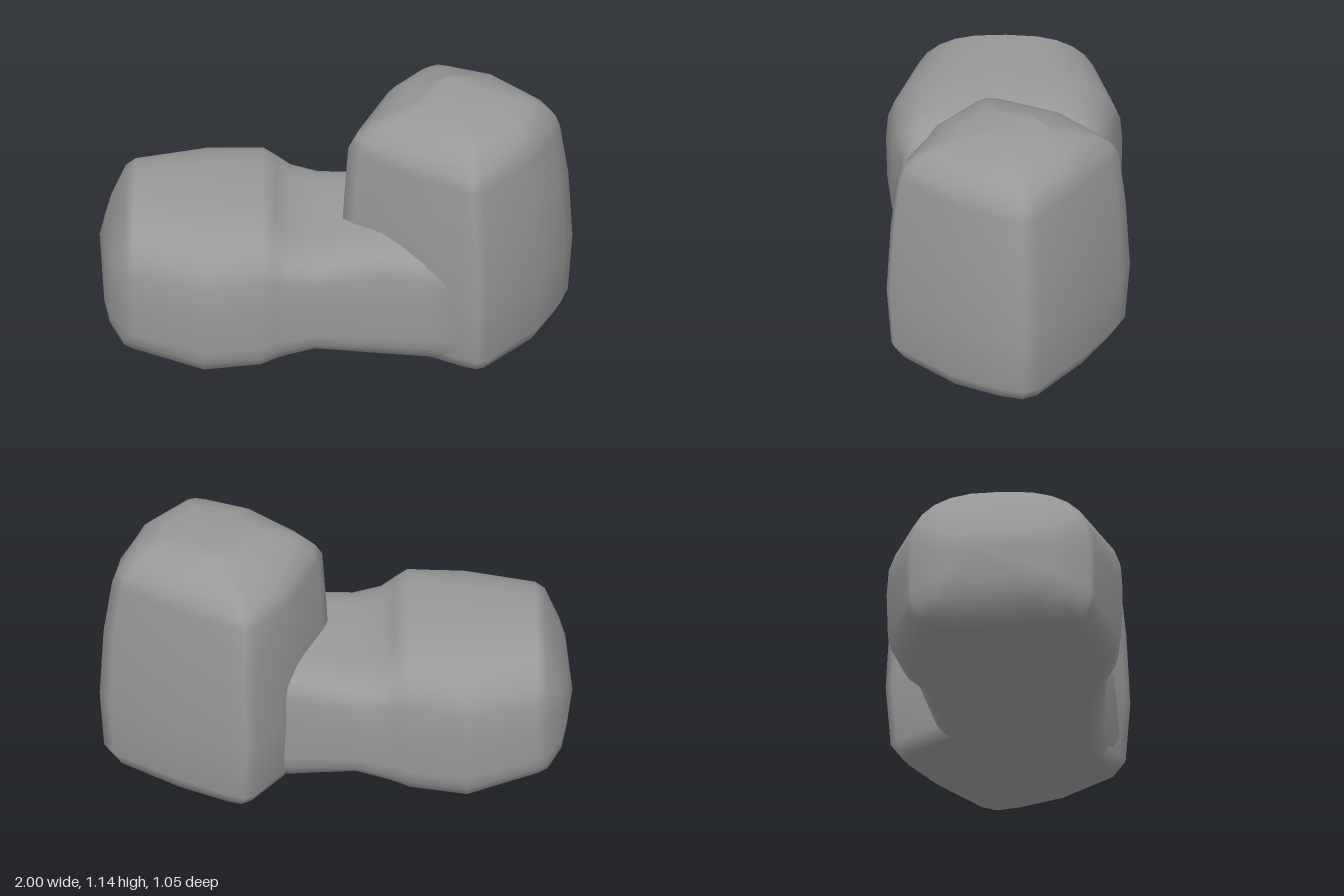
import * as THREE from 'three';

// Smooth closed skin over equal-length rings of [x, y, z] points
function loft(rings, capA, capB) {
  const n = rings[0].length, m = rings.length;
  const pos = [...rings.flat(2), ...capA, ...capB], idx = [];
  const a = n * m, b = a + 1;
  for (let j = 0; j < m - 1; j++) {
    for (let i = 0; i < n; i++) {
      const k = (i + 1) % n, p = j * n + i, q = j * n + k;
      idx.push(p, p + n, q, q, p + n, q + n);
    }
  }
  for (let i = 0; i < n; i++) {
    const k = (i + 1) % n, top = (m - 1) * n;
    idx.push(a, i, k, b, top + k, top + i);
  }
  const g = new THREE.BufferGeometry();
  g.setAttribute('position', new THREE.Float32BufferAttribute(pos, 3));
  g.setIndex(idx);
  g.computeVertexNormals();
  return g;
}

// Cross-section in the yz plane, widest at y = 0.37, with a squarer lower half
function section([x, y0, y1, z0, z1, upperPower]) {
  const ring = [], n = 28, mid = 0.37;
  for (let i = 0; i < n; i++) {
    const t = (i / n) * Math.PI * 2, c = Math.cos(t), s = Math.sin(t);
    const power = s > 0 ? upperPower : 4.8;
    const u = Math.sign(c) * Math.abs(c) ** (2 / power);
    const v = Math.sign(s) * Math.abs(s) ** (2 / power);
    const z = (z0 + z1) / 2 + (u * (z1 - z0)) / 2;
    ring.push([x, mid + v * (s > 0 ? y1 - mid : mid - y0), z]);
  }
  return ring;
}

export function createModel() {
  const group = new THREE.Group();
  const grey = new THREE.MeshStandardMaterial({ color: 0x999999 });
  const add = (name, geometry) => {
    const mesh = new THREE.Mesh(geometry, grey);
    mesh.name = name;
    group.add(mesh);
  };

  // Low lobe narrowing into the neck: x, bottom, top, back, front, upper squareness
  const low = [
    [-0.975, 0.22, 0.46, -0.2, 0.25, 2.8],
    [-0.95, 0.13, 0.54, -0.27, 0.31, 2.8],
    [-0.89, 0.07, 0.67, -0.36, 0.41, 2.7],
    [-0.85, 0.055, 0.7, -0.375, 0.425, 2.7],
    [-0.55, 0.002, 0.705, -0.475, 0.525, 2.8],
    [-0.31, 0.02, 0.715, -0.435, 0.5, 3.2],
    [-0.25, 0.035, 0.665, -0.41, 0.47, 3.6],
    [-0.2, 0.05, 0.61, -0.4, 0.46, 4],
    [-0.08, 0.08, 0.58, -0.38, 0.445, 4],
    [0.2, 0.035, 0.62, -0.33, 0.41, 4],
    [0.4, 0.02, 0.59, -0.27, 0.405, 4],
    [0.58, 0.04, 0.5, -0.2, 0.47, 4],
  ];
  add('lowLobeAndNeck', loft(low.map(section), [-1, 0.37, -0.09], [0.58, 0.3, 0.1]));

  // Tall turned block: plan outline, then height, scale, x shift and roundness of each layer
  const plan = [
    [0.34, -0.5], [0.39, -0.53], [0.46, -0.5], [0.68, -0.37], [0.96, -0.17],
    [1.0, -0.1], [0.97, 0.01], [0.87, 0.22], [0.65, 0.48], [0.61, 0.495],
    [0.55, 0.47], [0.33, 0.35], [0.07, 0.16], [0.02, 0.11], [0.04, 0.04], [0.18, -0.28],
  ];
  const layers = [
    [0.01, 0.42, 0, 0.4], [0.05, 0.88, 0, 0.1], [0.11, 0.96, 0, 0], [0.38, 1, 0, 0],
    [0.7, 0.965, 0, 0], [0.95, 0.91, -0.01, 0], [1.0, 0.87, -0.005, 0.15],
    [1.05, 0.78, 0, 0.4], [1.09, 0.65, 0.015, 0.6], [1.13, 0.42, 0.02, 0.8],
  ];
  const rings = layers.map(([y, scale, shift, round]) => plan.map(([x, z]) => {
    const s = scale * (1 - round + (round * 0.46) / Math.hypot(x - 0.52, z));
    return [0.52 + (x - 0.52) * s + shift, y, z * s];
  }));
  add('tallBlock', loft(rings, [0.5, 0.002, 0], [0.46, 1.147, -0.14]));

  return group;
}
